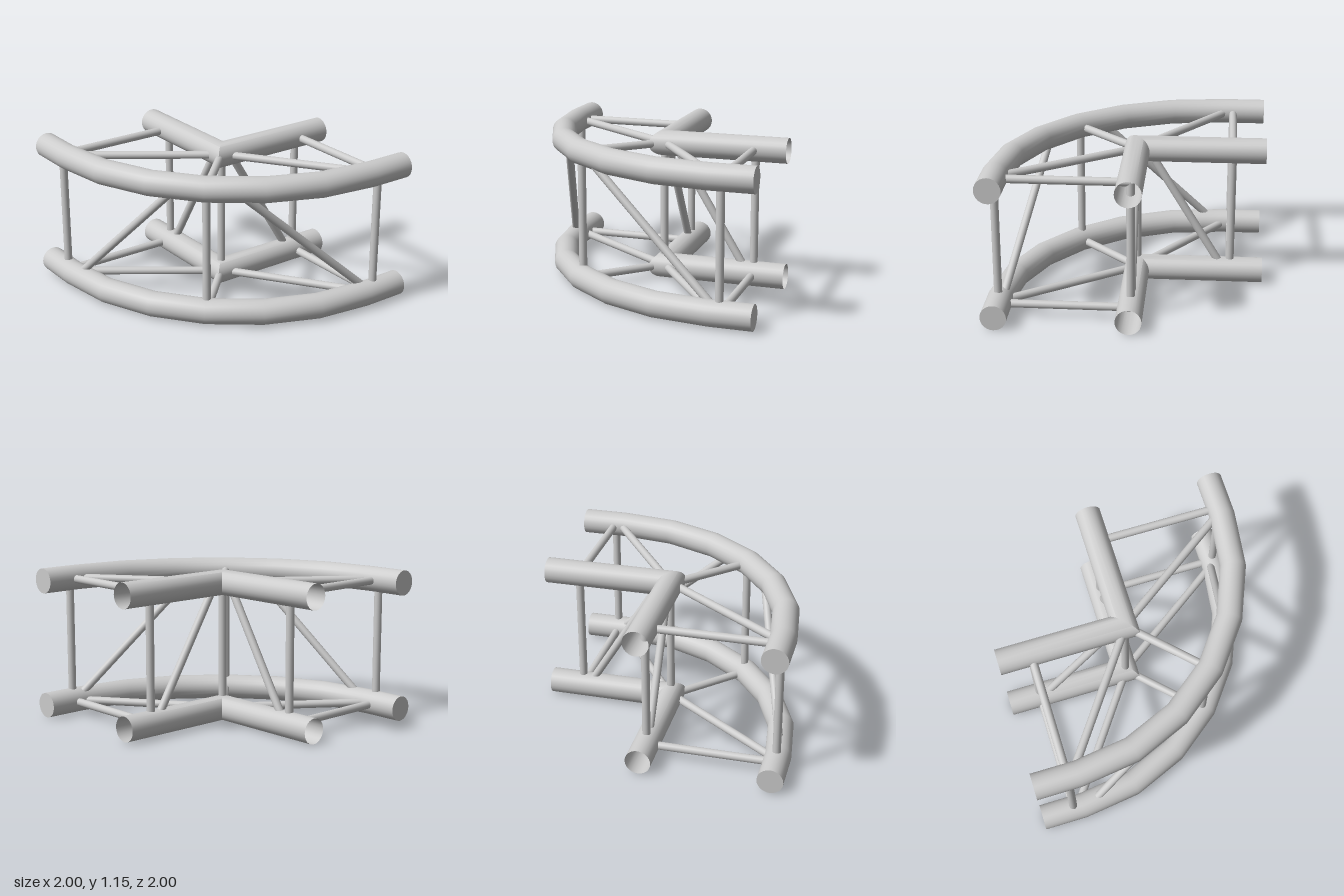
import * as THREE from 'three';
import { toCreasedNormals } from 'three/addons/utils/BufferGeometryUtils.js';

const R = 0.095;          // chord radius
const r = 0.03;           // brace radius
const LOW = 0.095, HIGH = 1.055;
const SIDES = 24;

// Round pipe swept along [x, z] points at y = 0, mitred at every bend
function sweep(points, capped) {
  const p = points.map(([x, z]) => new THREE.Vector3(x, 0, z));
  const sideOf = (a, b) => {
    const d = b.clone().sub(a).normalize();
    return new THREE.Vector3(d.z, 0, -d.x);
  };
  const pos = [], index = [], last = p.length - 1;
  p.forEach((c, i) => {
    const before = sideOf(p[Math.max(i - 1, 0)], p[Math.max(i, 1)]);
    const after = sideOf(p[Math.min(i, last - 1)], p[Math.min(i + 1, last)]);
    const side = before.clone().add(after).normalize();
    side.divideScalar(side.dot(before));
    for (let j = 0; j < SIDES; j++) {
      const t = (j / SIDES) * Math.PI * 2;
      const k = R * Math.cos(t);
      pos.push(c.x + side.x * k, R * Math.sin(t), c.z + side.z * k);
    }
  });
  for (let i = 0; i < last; i++) {
    for (let j = 0; j < SIDES; j++) {
      const a = i * SIDES + j, b = i * SIDES + (j + 1) % SIDES;
      index.push(a, b, a + SIDES, b, b + SIDES, a + SIDES);
    }
  }
  if (capped) {
    const start = pos.length / 3, end = start + 1;
    pos.push(p[0].x, 0, p[0].z, p[last].x, 0, p[last].z);
    for (let j = 0; j < SIDES; j++) {
      const k = (j + 1) % SIDES;
      index.push(start, k, j, end, last * SIDES + j, last * SIDES + k);
    }
  }
  const g = new THREE.BufferGeometry();
  g.setAttribute('position', new THREE.Float32BufferAttribute(pos, 3));
  g.setIndex(index);
  return toCreasedNormals(g, 0.6);
}

export function createModel() {
  const model = new THREE.Group();
  model.name = 'cornerTruss';
  const metal = new THREE.MeshStandardMaterial({ color: 0xcccccc, side: THREE.DoubleSide });
  metal.name = 'aluminium';

  function add(name, geometry, y = 0) {
    const mesh = new THREE.Mesh(geometry, metal);
    mesh.name = name;
    mesh.position.y = y;
    model.add(mesh);
    return mesh;
  }

  // Straight round bar between two points
  function brace(name, from, to) {
    const a = new THREE.Vector3(...from), b = new THREE.Vector3(...to);
    const d = b.clone().sub(a);
    const mesh = add(name, new THREE.CylinderGeometry(r, r, d.length(), 16));
    mesh.position.copy(a).add(b).multiplyScalar(0.5);
    mesh.quaternion.setFromUnitVectors(new THREE.Vector3(0, 1, 0), d.normalize());
  }

  // Outer chord path: straight stub, quarter bend in six steps, straight stub
  const outer = [[-0.905, -1]];
  for (let i = 0; i <= 6; i++) {
    const t = (i / 6) * Math.PI / 2;
    outer.push([0.68 - 1.585 * Math.cos(t), -0.68 + 1.585 * Math.sin(t)]);
  }
  outer.push([1, 0.905]);
  const inner = [[0.05, -1], [0.05, -0.05], [1, -0.05]];

  // Chords and flat bracing, on both levels
  for (const [level, y] of [['lower', LOW], ['upper', HIGH]]) {
    add(level + 'OuterChord', sweep(outer, true), y);
    add(level + 'InnerChord', sweep(inner, false), y);
    brace(level + 'CornerBrace', [0.05, y, -0.05], [-0.43, y, 0.43]);
    brace(level + 'FrontCrossBar', [0.755, y, -0.05], [0.755, y, 0.905]);
    brace(level + 'BackCrossBar', [0.05, y, -0.755], [-0.905, y, -0.755]);
    brace(level + 'FrontDiagonal', [0.06, y, -0.04], [0.71, y, 0.885]);
    brace(level + 'BackDiagonal', [0.04, y, -0.05], [-0.885, y, -0.71]);
  }

  // Uprights joining the two levels
  const uprights = [[0.05, -0.05], [-0.43, 0.43], [0.755, -0.05],
    [0.755, 0.905], [0.05, -0.755], [-0.905, -0.755]];
  for (const [x, z] of uprights) brace('upright', [x, LOW, z], [x, HIGH, z]);

  // Sloping braces from the middle of each side down to its ends
  brace('innerFrontSlope', [0.125, HIGH, -0.05], [0.71, LOW, -0.05]);
  brace('innerBackSlope', [0.05, HIGH, -0.125], [0.05, LOW, -0.71]);
  brace('outerFrontSlope', [-0.29, 1.045, 0.635], [0.745, LOW, 0.885]);
  brace('outerBackSlope', [-0.585, HIGH, 0.29], [-0.91, LOW, -0.62]);

  return model;
}
